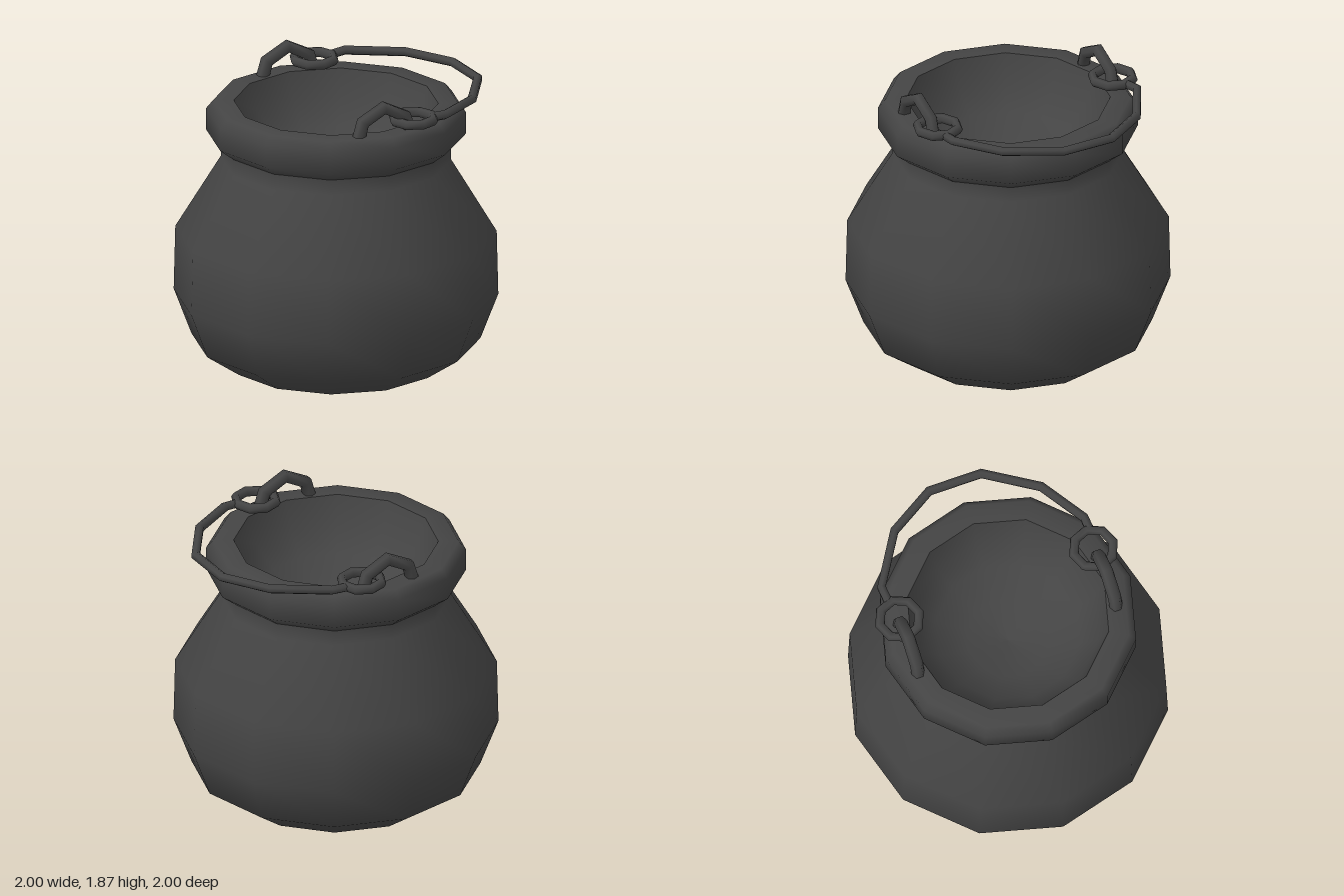
import * as THREE from 'three';

// Curve whose tube rings land exactly on its control points
class KnotPath extends THREE.CatmullRomCurve3 {
  getPointAt(u, target) { return this.getPoint(u, target); }
  getTangentAt(u, target) { return this.getTangent(u, target); }
}

export function createModel() {
  const group = new THREE.Group();
  const iron = new THREE.MeshStandardMaterial({ color: 0x444444, side: THREE.DoubleSide });
  iron.name = 'castIron';

  const add = (name, geometry) => {
    const mesh = new THREE.Mesh(geometry, iron);
    mesh.name = name;
    group.add(mesh);
    return mesh;
  };
  const lathe = (name, profile) =>
    add(name, new THREE.LatheGeometry(profile.map(([r, y]) => new THREE.Vector2(r, y)), 12));
  const bar = (name, points, radius) => {
    const path = new KnotPath(points.map((p) => new THREE.Vector3(...p)));
    return add(name, new THREE.TubeGeometry(path, points.length - 1, radius, 6));
  };

  // Pot: a thin shell, open underneath; separate bands keep the creases at neck and mouth
  lathe('body', [[0.67, 0], [0.89, 0.15], [1, 0.44], [0.99, 0.85], [0.71, 1.31], [0.71, 1.41]]);
  lathe('rim', [[0.71, 1.41], [0.8, 1.48], [0.8, 1.62], [0.755, 1.675], [0.63, 1.675]]);
  // Shallow rounded bowl inside the mouth
  lathe('interior', [[0.63, 1.675], [0.57, 1.5], [0.45, 1.36], [0.26, 1.25], [0, 1.21]]);

  // Arched lugs on the rim, each holding a loose ring
  for (const [side, z, ringX, ringZ] of [['front', 0.645, 0.21, 0.635], ['back', -0.65, 0.18, -0.645]]) {
    bar(side + 'Lug', [
      [-0.185, 1.62, z], [-0.145, 1.76, z], [0, 1.835, z], [0.145, 1.76, z], [0.185, 1.62, z],
    ], 0.042);
    const ring = add(side + 'Ring', new THREE.TorusGeometry(0.127, 0.031, 6, 8));
    ring.rotation.x = Math.PI / 2;
    ring.position.set(ringX, 1.728, ringZ);
  }

  // Carrying handle folded over to one side
  bar('handle', [
    [0.30, 1.725, -0.67], [0.41, 1.735, -0.68], [0.73, 1.735, -0.48], [0.905, 1.73, -0.19],
    [0.905, 1.73, 0.15], [0.70, 1.725, 0.47], [0.42, 1.725, 0.65], [0.33, 1.725, 0.655],
  ], 0.03);

  return group;
}
